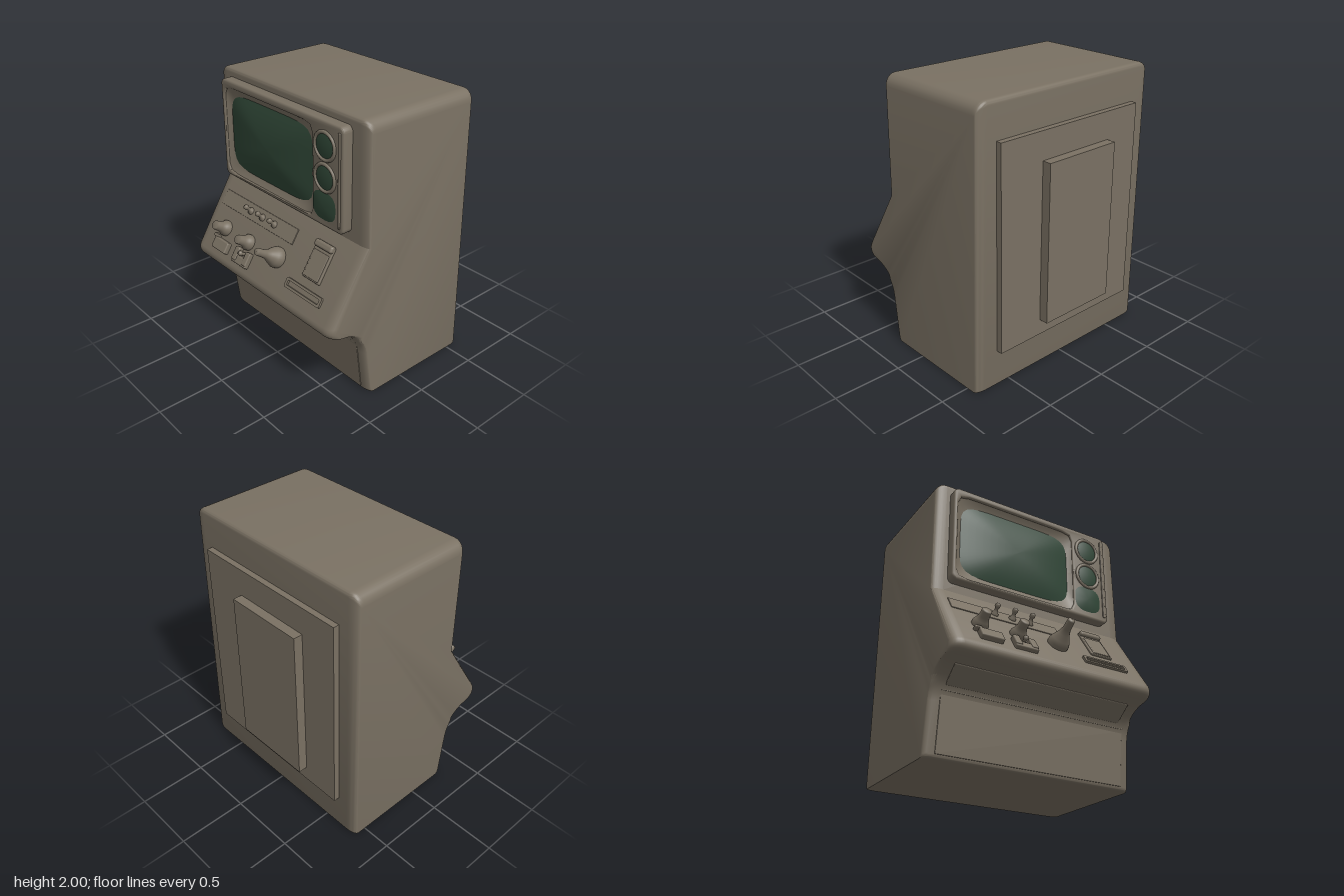
import * as THREE from 'three';
import { toCreasedNormals } from 'three/addons/utils/BufferGeometryUtils.js';
import { RoundedBoxGeometry } from 'three/addons/geometries/RoundedBoxGeometry.js';

const mat = (name, color) => Object.assign(new THREE.MeshStandardMaterial({ color }), { name });

// Point on a rounded rectangle (superellipse of power n)
function squircle(t, hw, hh, n) {
  const c = Math.cos(t), s = Math.sin(t);
  const k = Math.pow(Math.pow(Math.abs(c), n) + Math.pow(Math.abs(s), n), -1 / n);
  return [c * k * hw, s * k * hh];
}

// Surface through concentric rings [halfWidth, halfHeight, power, z], outer to inner
function rings(list, seg = 64) {
  const pos = [], index = [];
  list.forEach(([hw, hh, n, z], i) => {
    for (let j = 0; j <= seg; j++) {
      pos.push(...squircle((j / seg) * Math.PI * 2, hw, hh, n), z);
      if (i && j < seg) {
        const d = i * (seg + 1) + j, a = d - seg - 1;
        index.push(a, a + 1, d + 1, a, d + 1, d);
      }
    }
  });
  const g = new THREE.BufferGeometry();
  g.setAttribute('position', new THREE.Float32BufferAttribute(pos, 3));
  g.setIndex(index);
  g.computeVertexNormals();
  return g;
}

// Bulging glass, rim at z = 0
function dome(hw, hh, n, rise) {
  const list = [];
  for (let i = 0; i <= 8; i++) {
    const r = Math.max(1 - i / 8, 0.001);
    list.push([hw * r, hh * r, n, rise * (1 - r * r)]);
  }
  return rings(list);
}

function roundRect(w, h, r) {
  const s = new THREE.Shape(), x = w / 2, y = h / 2;
  s.absarc(x - r, y - r, r, 0, Math.PI / 2);
  s.absarc(-x + r, y - r, r, Math.PI / 2, Math.PI);
  s.absarc(-x + r, -y + r, r, Math.PI, Math.PI * 1.5);
  s.absarc(x - r, -y + r, r, Math.PI * 1.5, Math.PI * 2);
  return s;
}

// Side profile swept across the width, with rounded side edges
function cabinetGeometry() {
  const s = new THREE.Shape();
  s.moveTo(-0.605, 0.02);
  s.quadraticCurveTo(-0.605, 0, -0.585, 0);
  s.lineTo(0.285, 0);
  s.quadraticCurveTo(0.305, 0, 0.309, 0.03);
  s.lineTo(0.35, 0.35);
  s.bezierCurveTo(0.365, 0.47, 0.46, 0.56, 0.585, 0.577);
  s.bezierCurveTo(0.64, 0.585, 0.665, 0.62, 0.642, 0.666);
  s.lineTo(0.326, 1.15);
  s.lineTo(0.33, 1.965);
  s.quadraticCurveTo(0.33, 2, 0.295, 2);
  s.lineTo(-0.57, 2);
  s.quadraticCurveTo(-0.605, 2, -0.605, 1.965);
  const g = new THREE.ExtrudeGeometry(s, { depth: 13, steps: 13, bevelEnabled: false, curveSegments: 8 });
  const p = g.attributes.position;
  for (let i = 0; i < p.count; i++) {
    const k = Math.round(p.getZ(i)), a = (Math.min(k, 13 - k) / 6) * Math.PI / 2;
    const d = 1 - Math.sin(a), y = p.getY(i), z = p.getX(i);
    const w = 0.785 - 0.08 * (1 - Math.cos(a));
    const x = k < 7 ? w - 0.015 * y : -w;
    const inset = y > 0.5 && y < 1.1 ? 0.06 : 0.03;
    const top = THREE.MathUtils.clamp((y - 1.9) / 0.1, 0, 1);
    p.setXYZ(i, x, y - 0.08 * d * top, z - Math.sign(z) * inset * d);
  }
  return toCreasedNormals(g, 0.5);
}

export function createModel() {
  const model = new THREE.Group();
  model.name = 'consoleCabinet';
  const shell = mat('taupe shell', 0x7a7163);
  const glass = mat('dark green glass', 0x2f4636);

  const add = (parent, name, geo, x, y, z, m = shell) => {
    const mesh = new THREE.Mesh(geo, m);
    mesh.name = name;
    mesh.position.set(x, y, z);
    parent.add(mesh);
    return mesh;
  };
  const box = (parent, name, w, h, d, x, y, z, r = 0.006) =>
    add(parent, name, new RoundedBoxGeometry(w, h, d, 2, r), x, y, z);
  const lathe = (pts) => new THREE.LatheGeometry(pts.map(([r, h]) => new THREE.Vector2(r, h)), 28);

  add(model, 'cabinet', cabinetGeometry(), 0, 0, 0);

  // Stepped service panels on the back
  add(model, 'backPanel', new THREE.BoxGeometry(1.24, 1.47, 0.06), -0.01, 1.005, -0.618);
  add(model, 'backCover', new THREE.BoxGeometry(0.605, 1.155, 0.08), -0.043, 0.963, -0.675);

  // Lower front: kick plate, its top ledge and the bar under the lip
  box(model, 'kickPlate', 1.42, 0.39, 0.012, 0, 0.22, 0.331, 0.004).rotation.x = 0.128;
  box(model, 'kickLedge', 1.42, 0.012, 0.03, 0, 0.425, 0.357, 0.004);
  box(model, 'underLipPanel', 1.35, 0.16, 0.014, -0.015, 0.505, 0.443).rotation.x = 0.9;

  // Display bezel with the opening for the main screen
  const display = new THREE.Group();
  display.name = 'display';
  model.add(display);
  const sx = -0.168, sy = 1.562, fx = -0.035, fy = 1.575;
  const frame = roundRect(1.29, 0.73, 0.04);
  const hole = new THREE.Path();
  for (let i = 0; i < 64; i++) {
    const [x, y] = squircle((i / 64) * Math.PI * 2, 0.48, 0.325, 14);
    hole[i ? 'lineTo' : 'moveTo'](x + sx - fx, y + sy - fy);
  }
  hole.closePath();
  frame.holes.push(hole);
  const frameGeo = new THREE.ExtrudeGeometry(frame, {
    depth: 0.055, bevelThickness: 0.015, bevelSize: 0.015, bevelOffset: -0.015, bevelSegments: 3, curveSegments: 6,
  });
  add(display, 'bezel', toCreasedNormals(frameGeo, 0.6), fx, fy, 0.335);
  add(display, 'screenSurround', rings([[0.482, 0.327, 14, 0.392], [0.46, 0.3, 9, 0.375], [0.44, 0.275, 6, 0.365]]), sx, sy, 0);
  add(display, 'screen', dome(0.445, 0.28, 6, 0.045), sx, sy, 0.367, glass);

  // Column of small round scopes
  for (const y of [1.775, 1.56]) {
    add(display, 'scopeRing', new THREE.TorusGeometry(0.093, 0.013, 10, 40), 0.438, y, 0.405);
    add(display, 'scopeGlass', dome(0.084, 0.084, 2, 0.008), 0.438, y, 0.407, glass);
  }
  add(display, 'lowerScopeGlass', dome(0.11, 0.1, 2.8, 0.012), 0.43, 1.36, 0.406, glass);
  box(display, 'bezelSideRail', 0.022, 0.65, 0.014, 0.575, 1.575, 0.405);

  // Sloped control panel: local z points out of the slope
  const panel = new THREE.Group();
  panel.name = 'controlPanel';
  panel.position.set(0, 0.908, 0.484);
  panel.rotation.x = -0.579;
  model.add(panel);

  box(panel, 'togglePlate', 0.845, 0.115, 0.012, -0.278, 0.125, 0, 0.004);
  for (const x of [-0.365, -0.228, -0.09]) {
    const t = add(panel, 'toggle', lathe([[0.026, 0], [0.026, 0.012], [0.015, 0.026], [0.012, 0.045],
      [0.019, 0.06], [0.019, 0.075], [0.012, 0.084], [0, 0.086]]), x, 0.125, 0);
    t.rotation.x = Math.PI / 2 - 0.25;
  }

  const knob = lathe([[0.058, 0], [0.058, 0.022], [0.046, 0.042], [0.036, 0.07], [0.034, 0.112], [0.03, 0.12], [0, 0.121]]);
  for (const x of [-0.538, -0.255]) add(panel, 'knob', knob, x, -0.08, 0).rotation.x = Math.PI / 2;
  const lever = lathe([[0.074, 0], [0.076, 0.025], [0.064, 0.055], [0.042, 0.095], [0.029, 0.135],
    [0.026, 0.2], [0.022, 0.212], [0, 0.213]]);
  add(panel, 'largeLever', lever, 0.068, -0.06, 0).rotation.x = Math.PI / 2;

  // Switch boxes below the knobs
  box(panel, 'switchBox', 0.165, 0.085, 0.06, -0.497, -0.205, 0.008, 0.01);
  box(panel, 'switchTab', 0.05, 0.025, 0.05, -0.58, -0.155, 0.01);
  box(panel, 'switchBase', 0.17, 0.06, 0.05, -0.245, -0.225, 0.006, 0.01);
  for (const x of [-0.305, -0.185]) box(panel, 'switchCheek', 0.05, 0.1, 0.06, x, -0.19, 0.008, 0.01);
  add(panel, 'switchStick', lathe([[0.014, 0], [0.012, 0.03], [0.02, 0.045], [0.014, 0.06], [0, 0.064]]),
    -0.245, -0.17, 0).rotation.x = Math.PI / 2;

  // Hinged flap
  box(panel, 'flapFrame', 0.175, 0.265, 0.03, 0.433, 0.062, 0);
  box(panel, 'flap', 0.145, 0.19, 0.03, 0.433, 0.035, 0.006);
  box(panel, 'flapHinge', 0.175, 0.05, 0.055, 0.433, 0.175, 0.012, 0.018);

  // Card slot with a raised rim
  const rim = roundRect(0.36, 0.07, 0.012);
  rim.holes.push(new THREE.Path(roundRect(0.32, 0.035, 0.006).getPoints(4)));
  add(panel, 'slotRim', new THREE.ExtrudeGeometry(rim, { depth: 0.018, bevelEnabled: false, curveSegments: 4 }), 0.42, -0.165, -0.002);

  return model;
}
